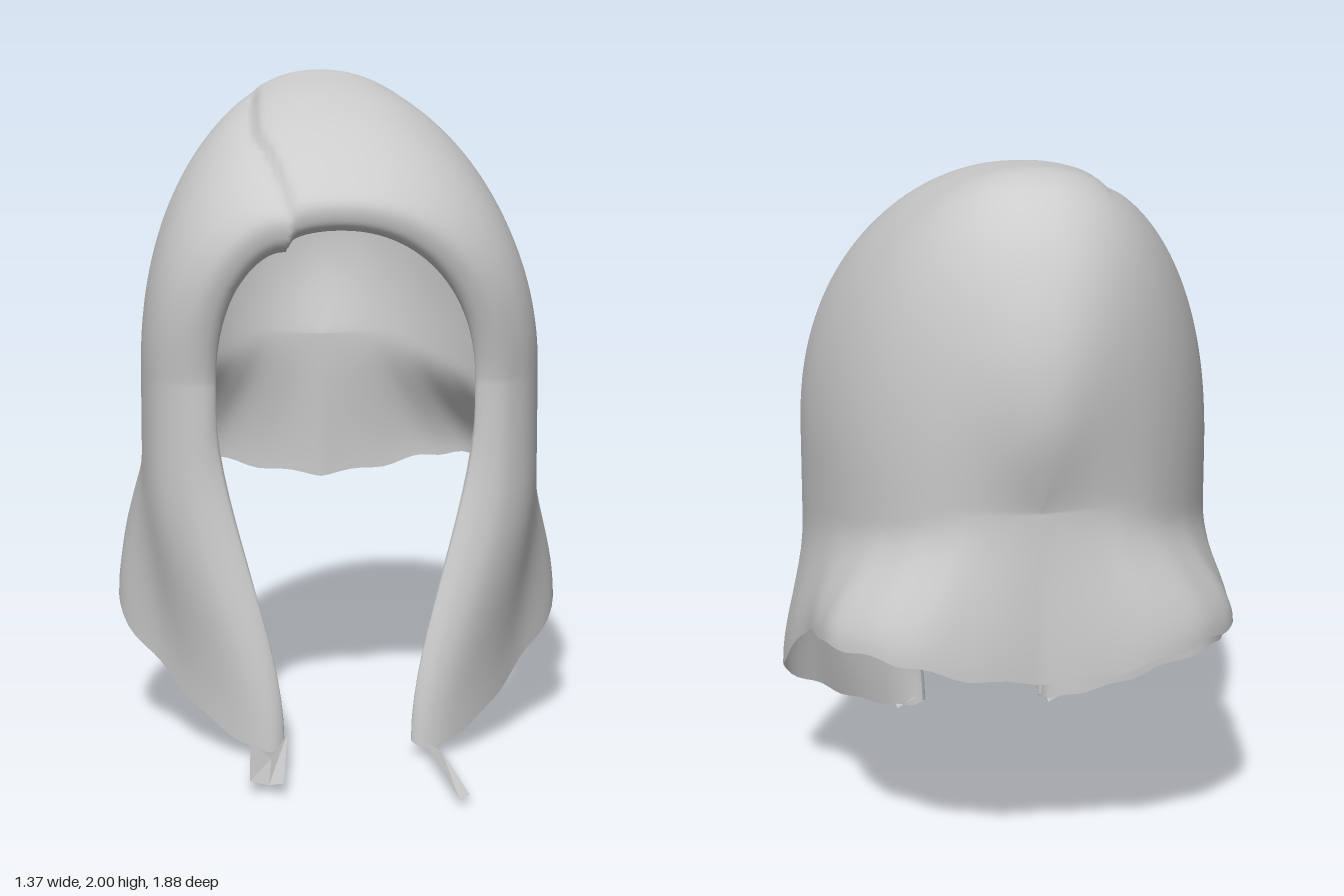
import * as THREE from 'three';
import { mergeVertices } from 'three/addons/utils/BufferGeometryUtils.js';

// Arched sections from the front rim to the back:
// [top height, top z, half width, side z, hem half width, hem z, hem height]
const SECTIONS = [
  [1.57, 0.40, 0.39, 0.31, 0.20, 0.40, 0.05],
  [1.57, 0.46, 0.385, 0.335, 0.19, 0.42, 0.04],
  [1.60, 0.49, 0.42, 0.355, 0.23, 0.44, 0.02],
  [1.66, 0.485, 0.48, 0.345, 0.31, 0.41, 0.04],
  [1.73, 0.40, 0.55, 0.28, 0.43, 0.31, 0.11],
  [1.81, 0.27, 0.59, 0.18, 0.55, 0.16, 0.22],
  [1.885, 0.10, 0.605, 0.04, 0.67, 0.00, 0.34],
  [1.955, -0.15, 0.60, -0.16, 0.675, -0.19, 0.46],
  [1.99, -0.40, 0.56, -0.38, 0.63, -0.39, 0.61],
  [2.00, -0.57, 0.50, -0.55, 0.61, -0.56, 0.66],
  [1.95, -0.71, 0.42, -0.685, 0.58, -0.71, 0.68],
  [1.82, -0.83, 0.32, -0.79, 0.48, -0.84, 0.69],
  [1.60, -0.92, 0.21, -0.85, 0.35, -0.91, 0.67],
  [1.36, -0.94, 0.10, -0.875, 0.18, -0.92, 0.63],
  [1.12, -0.885, 0.00, -0.88, 0.00, -0.90, 0.61],
];
const LAST = SECTIONS.length - 1;
const SIDE_Y = 1.1; // where the straight sides turn into the arch
const STEPS = 5, LEG = 16, ARCH = 120;
const clamp01 = (v) => Math.min(1, Math.max(0, v));

function catmull(a, b, c, d, t) {
  return 0.5 * (2 * b + (c - a) * t + (2 * a - 5 * b + 4 * c - d) * t * t + (3 * b - a - 3 * c + d) * t * t * t);
}

function sectionAt(s) {
  const i = Math.min(Math.floor(s), LAST - 1), t = s - i;
  const row = (k) => SECTIONS[Math.max(0, Math.min(LAST, k))];
  return row(i).map((_, n) => catmull(row(i - 1)[n], row(i)[n], row(i + 1)[n], row(i + 2)[n], t));
}

// One section: up the right side, over the crown, down the left side
function sectionPoints(s) {
  const [h, zTop, w0, zSide, wHem0, zHem, hem0] = sectionAt(s);
  const w = Math.max(0, w0), wHem = Math.max(0, wHem0);
  const hem = hem0 + 0.006 * Math.sin(s * 5.3) * Math.min(1, s / 5);
  // the flare starts lower on the flanks than at the front and back
  const flareStart = 0.35 * Math.sin(Math.PI * clamp01(s / 12));
  const leg = (side, k) => {
    const q = clamp01((k - flareStart) / (1 - flareStart));
    const f = q * q * (3 - 2 * q);
    return [side * (w + (wHem - w) * f), SIDE_Y + (hem - SIDE_Y) * k, zSide + (zHem - zSide) * f];
  };
  const points = [];
  for (let j = 0; j < LEG; j++) points.push(leg(-1, 1 - j / LEG));
  for (let j = 0; j <= ARCH; j++) {
    const a = Math.PI * j / ARCH, c = Math.cos(a), p = 2 / 2.2;
    const rise = Math.pow(Math.max(0, Math.sin(a)), p);
    // the crown leans slightly to the right
    const x = -Math.sign(c) * Math.pow(Math.abs(c), p) * w - 0.025 * rise * rise * Math.min(1, w / 0.3);
    let y = SIDE_Y + (h - SIDE_Y) * rise;
    const z = zSide + (zTop - zSide) * Math.pow(rise, 1.25);
    // parting crease, right of the middle, fading towards the back
    const d = x - (-0.17 - 0.09 * clamp01((0.49 - z) / 0.4) + 0.04 * Math.max(0, -z));
    const fade = clamp01((z + 0.6) / 0.3);
    if (y > 1.4) y -= fade * 0.03 * Math.exp(-Math.abs(d) / (d < 0 ? 0.05 : 0.009));
    points.push([x, y, z]);
  }
  for (let j = 1; j <= LEG; j++) points.push(leg(1, j / LEG));
  return points;
}

function shellGeometry() {
  const rows = LAST * STEPS;
  const cols = 2 * LEG + ARCH + 1;
  const positions = [], index = [];
  for (let i = 0; i <= rows; i++) {
    for (const p of sectionPoints(i / STEPS)) positions.push(...p);
  }
  for (let i = 0; i < rows; i++) {
    for (let j = 0; j < cols - 1; j++) {
      const a = i * cols + j, b = a + 1, c = a + cols, d = c + 1;
      index.push(a, b, c, b, d, c);
    }
  }
  const geometry = new THREE.BufferGeometry();
  geometry.setAttribute('position', new THREE.Float32BufferAttribute(positions, 3));
  geometry.setIndex(index);
  const welded = mergeVertices(geometry, 1e-4);
  welded.computeVertexNormals();
  return welded;
}

// Ribbon between two edge lines
function ribbonGeometry(edgeA, edgeB) {
  const positions = [];
  for (let i = 0; i < edgeA.length - 1; i++) {
    const [a, b, c, d] = [edgeA[i], edgeB[i], edgeA[i + 1], edgeB[i + 1]];
    positions.push(...a, ...c, ...b, ...b, ...c, ...d);
  }
  const geometry = new THREE.BufferGeometry();
  geometry.setAttribute('position', new THREE.Float32BufferAttribute(positions, 3));
  geometry.computeVertexNormals();
  return geometry;
}

export function createModel() {
  const group = new THREE.Group();
  group.name = 'hood';
  const grey = new THREE.MeshStandardMaterial({ color: 0xcccccc, side: THREE.DoubleSide });
  grey.name = 'light grey';
  const add = (name, geometry) => {
    const mesh = new THREE.Mesh(geometry, grey);
    mesh.name = name;
    group.add(mesh);
  };

  add('shell', shellGeometry());

  // Thin pointed ends reaching forward from the lower front corners
  add('leftTip', ribbonGeometry(
    [[0.22, 0.05, 0.43], [0.275, 0.02, 0.94]],
    [[0.28, 0.01, 0.44], [0.305, 0.03, 0.94]]));
  add('rightTipOuter', ribbonGeometry(
    [[-0.29, 0.05, 0.42], [-0.305, 0.04, 0.80]],
    [[-0.23, 0.00, 0.45], [-0.25, 0.02, 0.78]]));
  add('rightTipInner', ribbonGeometry(
    [[-0.23, 0.00, 0.45], [-0.25, 0.02, 0.78]],
    [[-0.18, 0.07, 0.42], [-0.21, 0.04, 0.83]]));
  return group;
}
